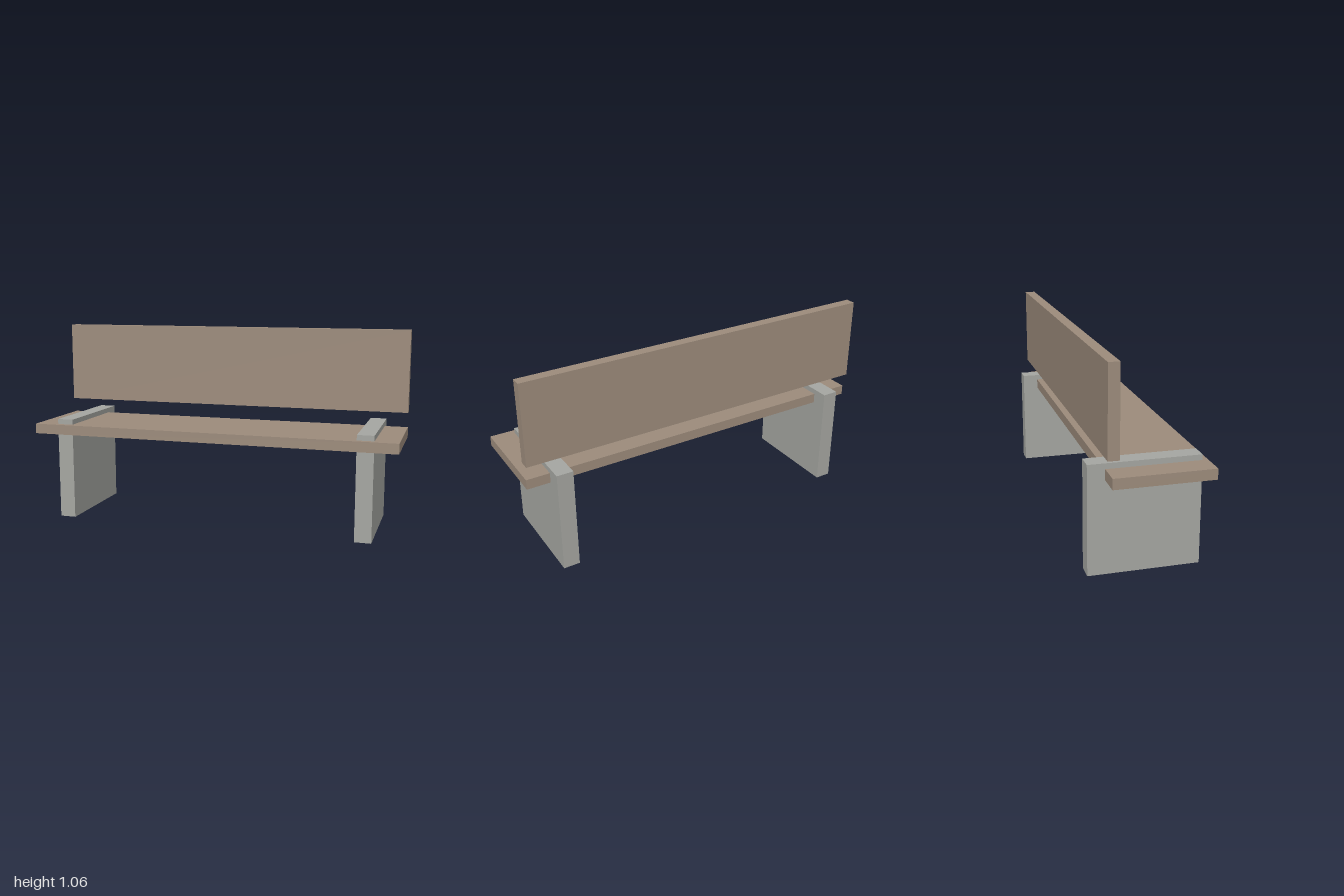
import * as THREE from 'three';

export function createModel() {
  const bench = new THREE.Group();
  bench.name = 'bench';

  const wood = new THREE.MeshStandardMaterial({ color: 0x9d8c7c });
  wood.name = 'weathered wood';
  const concrete = new THREE.MeshStandardMaterial({ color: 0xa6a7a2 });
  concrete.name = 'concrete';

  // Box given by its [min, max] extents on each axis
  function slab(name, material, [x0, x1], [y0, y1], [z0, z1]) {
    const mesh = new THREE.Mesh(new THREE.BoxGeometry(x1 - x0, y1 - y0, z1 - z0), material);
    mesh.position.set((x0 + x1) / 2, (y0 + y1) / 2, (z0 + z1) / 2);
    mesh.name = name;
    bench.add(mesh);
  }

  // Seat plank and floating backrest plank
  slab('seat', wood, [-1, 1], [0.475, 0.529], [-0.207, 0.293]);
  slab('backrest', wood, [-1, 1], [0.612, 1.058], [-0.23, -0.174]);

  // Slab legs that rise slightly through the seat
  slab('leftLeg', concrete, [0.787, 0.875], [0, 0.557], [-0.293, 0.265]);
  slab('rightLeg', concrete, [-0.875, -0.787], [0, 0.557], [-0.293, 0.265]);

  return bench;
}
